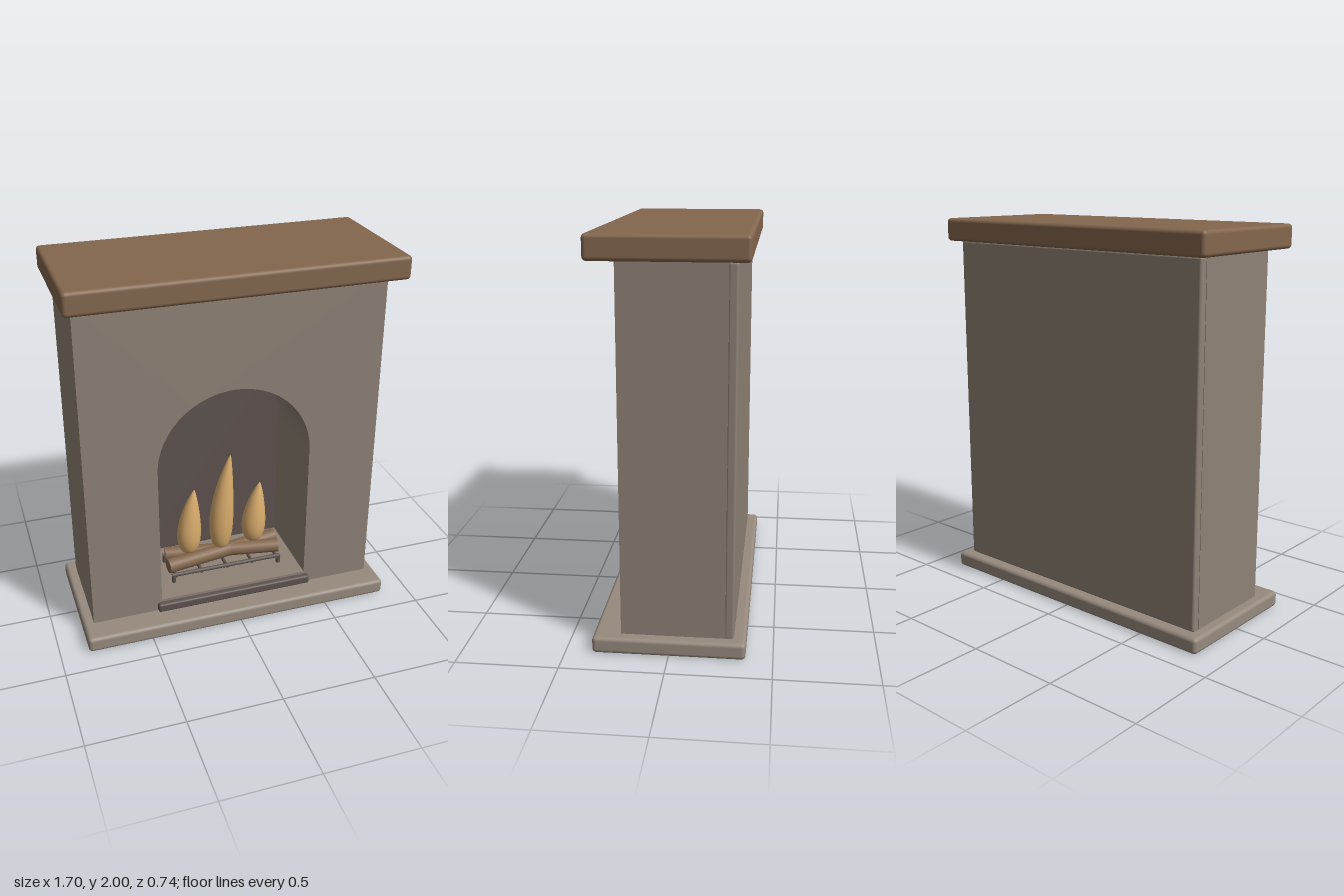
import * as THREE from 'three';
import { RoundedBoxGeometry } from 'three/addons/geometries/RoundedBoxGeometry.js';

const mat = (name, color) => {
  const m = new THREE.MeshStandardMaterial({ color });
  m.name = name;
  return m;
};

export function createModel() {
  const stone = mat('stone', 0x8f8276);
  const hearthStone = mat('hearthStone', 0x978a7e);
  const wood = mat('wood', 0x84674e);
  const iron = mat('iron', 0x5d5350);
  const flameMat = mat('flame', 0xd8ab6c);

  const root = new THREE.Group();
  root.name = 'fireplace';

  const add = (name, geo, material, x = 0, y = 0, z = 0, parent = root) => {
    const mesh = new THREE.Mesh(geo, material);
    mesh.name = name;
    mesh.position.set(x, y, z);
    parent.add(mesh);
    return mesh;
  };
  // Rounded box given by its lower and upper limits
  const slab = (name, material, [x0, y0, z0], [x1, y1, z1], r) =>
    add(name, new RoundedBoxGeometry(x1 - x0, y1 - y0, z1 - z0, 3, r), material,
      (x0 + x1) / 2, (y0 + y1) / 2, (z0 + z1) / 2);
  // Round bar between two points
  const bar = (name, a, b, r, material, parent) => {
    const from = new THREE.Vector3(...a), to = new THREE.Vector3(...b);
    const dir = to.clone().sub(from);
    const mid = from.clone().add(to).multiplyScalar(0.5);
    const mesh = add(name, new THREE.CylinderGeometry(r, r, dir.length(), 20), material,
      mid.x, mid.y, mid.z, parent);
    mesh.quaternion.setFromUnitVectors(new THREE.Vector3(0, 1, 0), dir.normalize());
    return mesh;
  };

  // Base slab and mantel shelf
  slab('hearthBase', hearthStone, [-0.85, 0, -0.37], [0.85, 0.083, 0.37], 0.02);
  slab('mantelShelf', wood, [-0.85, 1.88, -0.37], [0.85, 2, 0.37], 0.02);

  // Chimney breast with an arched opening right through it
  const wall = new THREE.Shape();
  wall.moveTo(-0.795, 0.07);
  wall.lineTo(0.795, 0.07);
  wall.lineTo(0.795, 1.89);
  wall.lineTo(-0.795, 1.89);
  wall.closePath();
  const opening = new THREE.Path();
  opening.moveTo(-0.415, 0.15);
  opening.lineTo(-0.415, 0.94);
  opening.absarc(0, 0.94, 0.415, Math.PI, 0, true);
  opening.lineTo(0.415, 0.15);
  opening.closePath();
  wall.holes.push(opening);
  add('chimneyBreast', new THREE.ExtrudeGeometry(wall,
    { depth: 0.505, bevelEnabled: false, curveSegments: 40 }), stone, 0, 0, -0.27);

  // Back of the chimney and the dark fireback inside the opening
  slab('backPanel', stone, [-0.795, 0.08, -0.312], [0.795, 1.88, -0.265], 0.012);
  slab('fireback', iron, [-0.44, 0.12, -0.285], [0.44, 1.31, -0.235], 0.01);

  // Low fender in front of the opening
  slab('fender', iron, [-0.44, 0.085, 0.2], [0.44, 0.135, 0.265], 0.012);

  // Grate: two rails on legs, joined by cross bars
  const grate = new THREE.Group();
  grate.name = 'grate';
  root.add(grate);
  for (const z of [-0.1, 0.1]) {
    bar('grateRail', [-0.32, 0.195, z], [0.32, 0.195, z], 0.011, iron, grate);
    for (const x of [-0.31, 0.31]) {
      bar('grateLeg', [x, 0.15, z], [x, 0.195, z], 0.012, iron, grate);
    }
  }
  for (let i = 0; i < 5; i++) {
    const x = -0.3 + i * 0.15;
    bar('grateCrossBar', [x, 0.19, -0.11], [x, 0.19, 0.11], 0.009, iron, grate);
  }

  // Two logs, slightly crossed
  bar('frontLog', [-0.33, 0.232, 0.06], [0.33, 0.245, -0.03], 0.041, wood);
  bar('backLog', [-0.32, 0.24, -0.05], [0.32, 0.238, 0.06], 0.039, wood);

  // Flames: a teardrop whose tip leans to the side
  const profile = [[0, 0], [0.5, 0.012], [0.76, 0.06], [0.94, 0.16], [1, 0.28], [0.95, 0.42],
    [0.8, 0.58], [0.58, 0.74], [0.32, 0.88], [0.13, 0.96], [0, 1]];
  const curve = new THREE.SplineCurve(profile.map(p => new THREE.Vector2(...p)));
  const flame = (name, x, y, height, radius, lean) => {
    const pts = curve.getPoints(36)
      .map(p => new THREE.Vector2(Math.max(0, p.x) * radius, p.y * height));
    const geo = new THREE.LatheGeometry(pts, 28);
    const pos = geo.attributes.position;
    for (let i = 0; i < pos.count; i++) {
      const t = pos.getY(i) / height;
      pos.setX(i, pos.getX(i) + lean * t * t);
    }
    geo.computeVertexNormals();
    add(name, geo, flameMat, x, y, 0);
  };
  flame('leftFlame', 0.19, 0.275, 0.37, 0.067, 0.037);
  flame('middleFlame', -0.005, 0.265, 0.585, 0.067, 0.058);
  flame('rightFlame', -0.193, 0.27, 0.395, 0.067, 0.037);

  return root;
}
